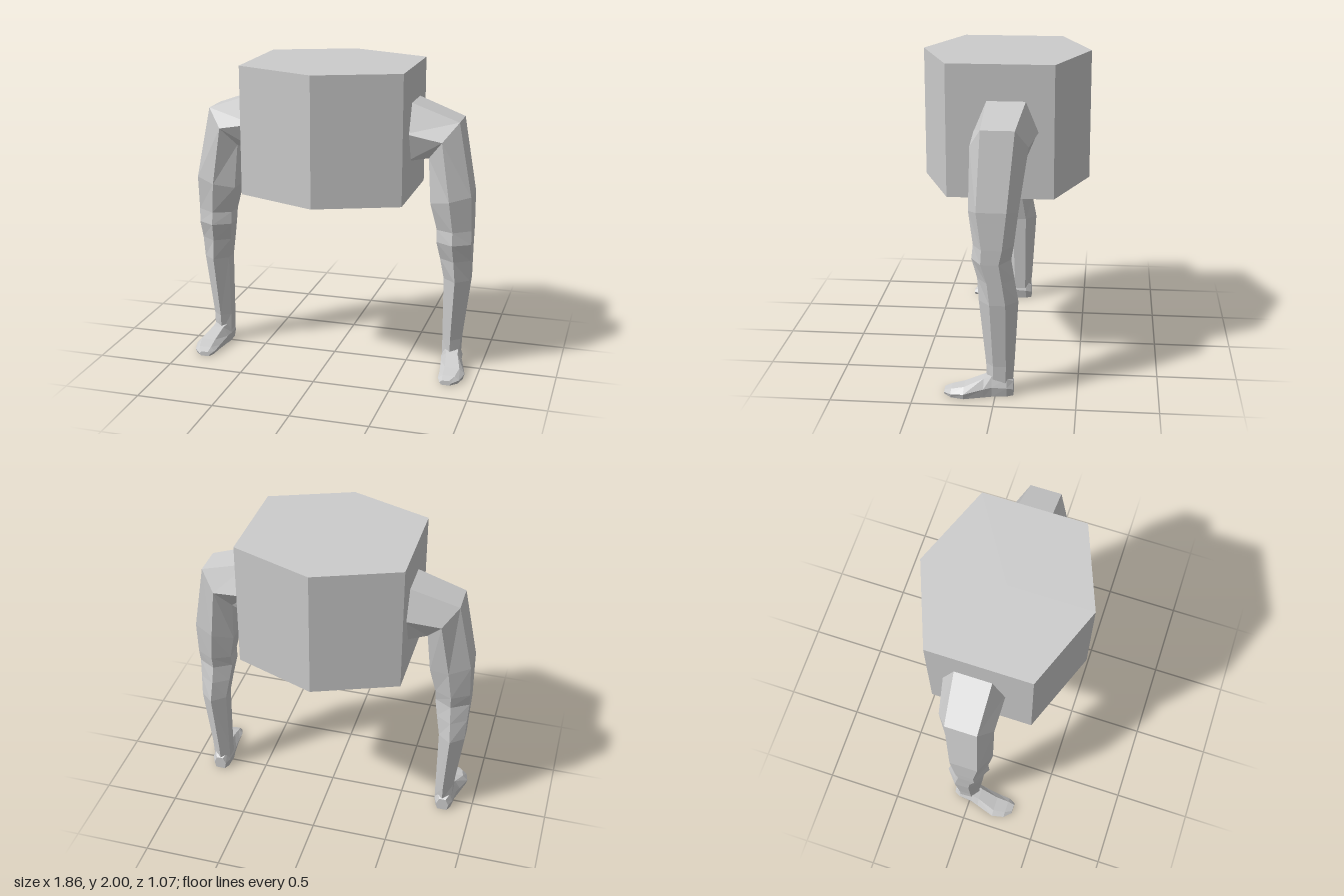
import * as THREE from 'three';

// Skin a list of closed rings, capped at both ends; side -1 mirrors it in x.
function loft(rings, side) {
  const n = rings[0].length;
  const index = [];
  const tri = (a, b, c) => index.push(...(side > 0 ? [a, b, c] : [a, c, b]));
  for (let r = 0; r < rings.length - 1; r++) {
    for (let i = 0; i < n; i++) {
      const a = r * n + i, b = r * n + (i + 1) % n;
      tri(a, a + n, b + n);
      tri(a, b + n, b);
    }
  }
  const last = (rings.length - 1) * n;
  for (let i = 1; i < n - 1; i++) {
    tri(0, i, i + 1);
    tri(last, last + i + 1, last + i);
  }
  const points = rings.flat().flatMap(([x, y, z]) => [x * side, y, z]);
  const geometry = new THREE.BufferGeometry();
  geometry.setAttribute('position', new THREE.Float32BufferAttribute(points, 3));
  geometry.setIndex(index);
  const faceted = geometry.toNonIndexed();
  faceted.computeVertexNormals();
  return faceted;
}

// Six-sided leg section: outer x/y, inner x/y, front z, back z, width of the outer facet.
function legRing([xo, yo, xi, yi, zf, zb, k]) {
  const cz = (zf + zb) / 2, rz = (zf - zb) / 2;
  const cx = (xo + xi) / 2, cy = (yo + yi) / 2;
  return [
    [xo, yo, cz + k * rz], [xo, yo, cz - k * rz], [cx, cy, zb],
    [xi, yi, cz - k * rz], [xi, yi, cz + k * rz], [cx, cy, zf],
  ];
}

// Foot section at z: inner x, outer x, height, inset of the top edge.
function footRing([z, x0, x1, h, inset]) {
  return [
    [x0, h * 0.5, z], [x0 + inset, h, z], [x1 - inset, h, z],
    [x1, h * 0.5, z], [x1 - 0.01, 0, z], [x0 + 0.01, 0, z],
  ];
}

const LEG = [
  [0.50, 1.785, 0.50, 1.40, 0.16, -0.24, 0.6], // hip, inside the body
  [0.83, 1.67, 0.64, 1.43, 0.16, -0.19, 0.58], // bend
  [0.92, 1.20, 0.66, 1.14, 0.165, -0.135, 0.6], // thigh
  [0.925, 0.97, 0.70, 0.96, 0.135, -0.11, 0.5],
  [0.925, 0.88, 0.70, 0.88, 0.145, -0.095, 0.45], // knee
  [0.92, 0.76, 0.72, 0.76, 0.11, -0.115, 0.4],
  [0.915, 0.62, 0.745, 0.62, 0.10, -0.14, 0.4], // calf
  [0.865, 0.20, 0.745, 0.20, 0.06, -0.115, 0.45],
  [0.86, 0.08, 0.745, 0.08, 0.055, -0.105, 0.5], // ankle
];

const FOOT = [
  [-0.11, 0.765, 0.85, 0.09, 0.02], // heel
  [-0.07, 0.745, 0.87, 0.115, 0.02],
  [0.02, 0.74, 0.88, 0.13, 0.025],
  [0.07, 0.75, 0.895, 0.115, 0.035],
  [0.19, 0.765, 0.93, 0.07, 0.035], // ball
  [0.27, 0.77, 0.91, 0.048, 0.03],
  [0.315, 0.79, 0.865, 0.03, 0.015], // toe
];

export function createModel() {
  const model = new THREE.Group();
  const material = new THREE.MeshStandardMaterial({ color: 0xcccccc, flatShading: true });
  const add = (parent, name, geometry) => {
    const mesh = new THREE.Mesh(geometry, material);
    mesh.name = name;
    parent.add(mesh);
    return mesh;
  };

  // Hexagonal body with a corner to the front
  const body = add(model, 'body', new THREE.CylinderGeometry(1, 1, 0.83, 6));
  body.scale.set(0.525 / Math.sin(Math.PI / 3), 1, 0.535);
  body.position.y = 1.585;
  // Pull the side corners out to their depth
  const p = body.geometry.attributes.position;
  for (let i = 0; i < p.count; i++) {
    if (Math.abs(p.getX(i)) > 0.5) p.setZ(i, Math.sign(p.getZ(i)) * 0.617);
  }
  body.geometry.computeVertexNormals();

  for (const side of [1, -1]) {
    const limb = new THREE.Group();
    limb.name = side > 0 ? 'leftLimb' : 'rightLimb';
    add(limb, 'leg', loft(LEG.map(legRing), side));
    add(limb, 'foot', loft(FOOT.map(footRing), side));
    model.add(limb);
  }
  return model;
}
